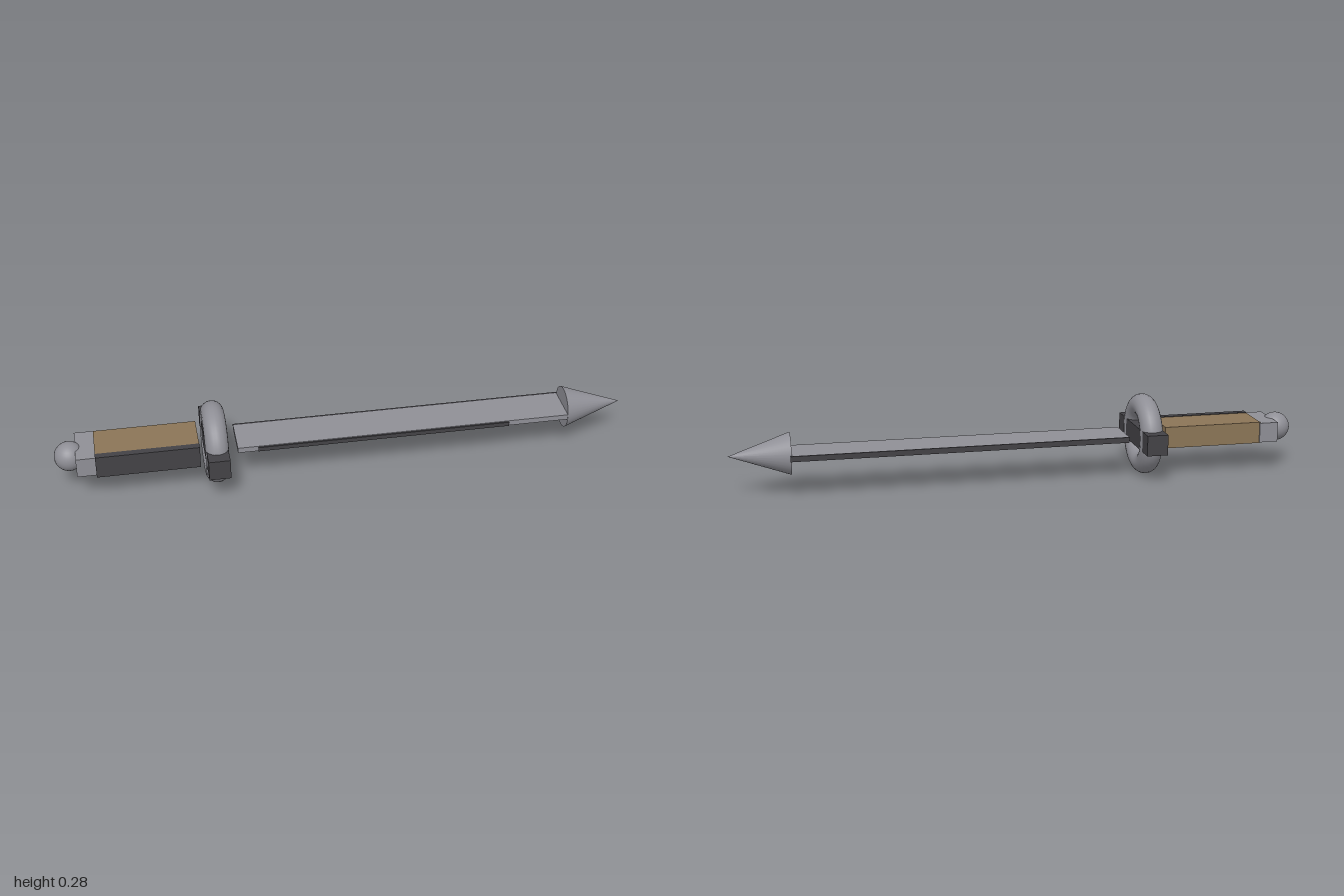
import * as THREE from 'three';

const AXIS_Y = 0.145; // height of the sword's long axis

function material(name, color) {
  const m = new THREE.MeshStandardMaterial({ color });
  m.name = name;
  return m;
}

export function createModel() {
  const sword = new THREE.Group();
  sword.name = 'sword';

  const steel = material('steel grey', 0x8f8f96);
  const dark = material('dark iron', 0x434246);
  const brown = material('brown grip', 0x8b7557);

  function add(name, geometry, mat, x, z = 0) {
    const mesh = new THREE.Mesh(geometry, mat);
    mesh.name = name;
    mesh.position.set(x, AXIS_Y, z);
    sword.add(mesh);
    return mesh;
  }

  // Box given by its x range, z range and height, centred on the axis
  function bar(name, mat, x0, x1, z0, z1, height) {
    const geometry = new THREE.BoxGeometry(x1 - x0, height, z1 - z0);
    return add(name, geometry, mat, (x0 + x1) / 2, (z0 + z1) / 2);
  }

  // Pommel
  add('pommelBall', new THREE.SphereGeometry(0.051, 32, 16), steel, -0.949);
  bar('pommelCap', steel, -0.927, -0.86, -0.085, 0.08, 0.07);

  // Grip with a dark plate along its front
  bar('grip', brown, -0.862, -0.51, -0.08, 0.065, 0.076);
  bar('gripPlate', dark, -0.862, -0.51, 0.062, 0.087, 0.08);

  // Guard: ring around a cross bar
  const ring = new THREE.TorusGeometry(0.102, 0.04, 20, 48);
  ring.rotateY(Math.PI / 2);
  add('guardRing', ring, steel, -0.453);
  bar('crossGuard', dark, -0.49, -0.416, -0.176, 0.176, 0.072);

  // Blade with dark edges, the front one shorter
  bar('blade', steel, -0.38, 0.795, -0.073, 0.071, 0.019);
  bar('backEdge', dark, -0.38, 0.795, -0.081, -0.073, 0.019);
  bar('frontEdge', dark, -0.31, 0.575, 0.071, 0.077, 0.015);

  // Pointed tip
  const tip = new THREE.ConeGeometry(0.073, 0.21, 32);
  tip.rotateZ(-Math.PI / 2);
  add('tip', tip, steel, 0.895);

  return sword;
}
